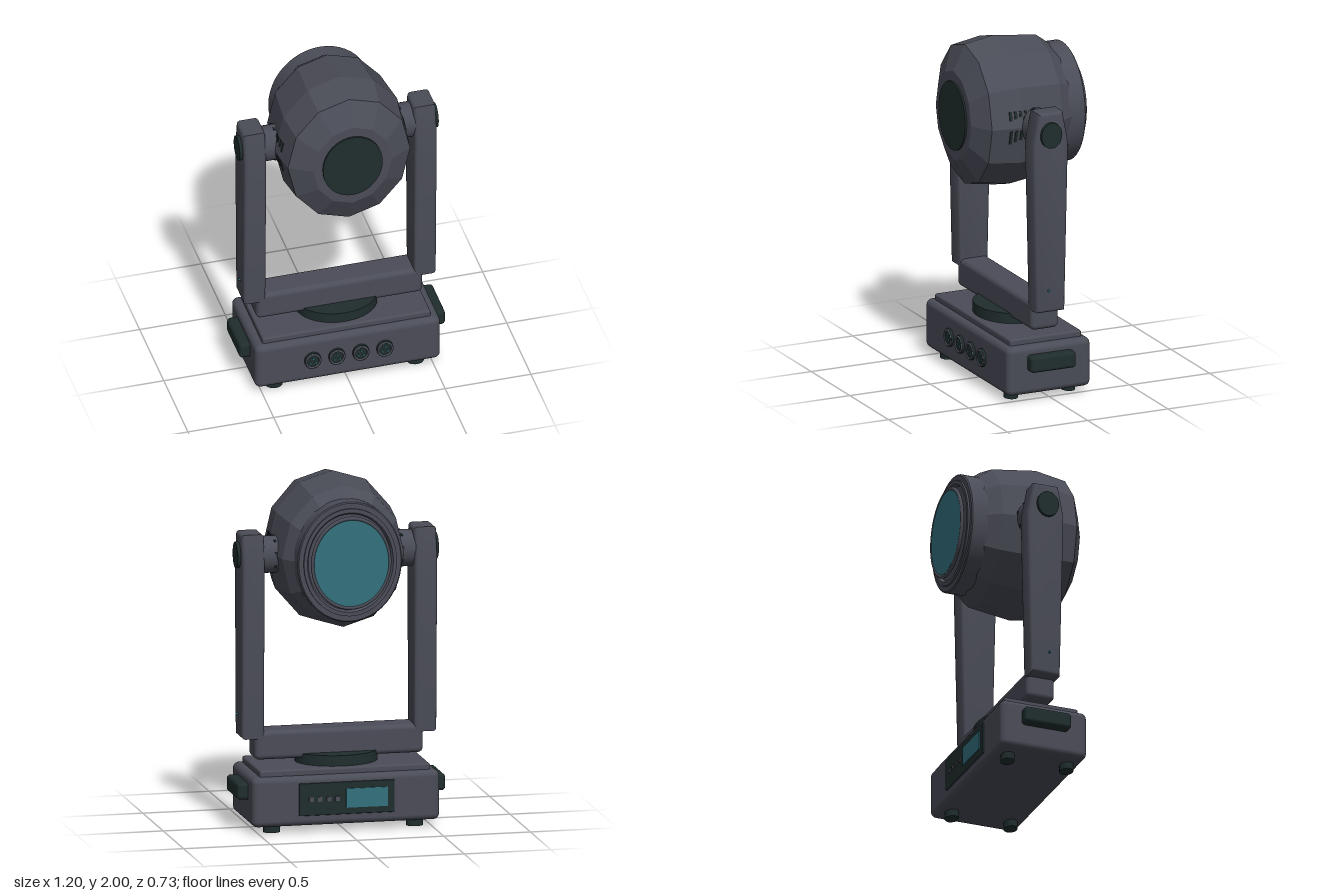
import * as THREE from 'three';
import { toCreasedNormals } from 'three/addons/utils/BufferGeometryUtils.js';
import { RoundedBoxGeometry } from 'three/addons/geometries/RoundedBoxGeometry.js';

const mat = (name, color) => {
  const m = new THREE.MeshStandardMaterial({ color });
  m.name = name;
  return m;
};

export function createModel() {
  const body = mat('charcoal casing', 0x4a4c57);
  const dark = mat('black green rubber', 0x202d2d);
  const teal = mat('teal glass', 0x33707e);
  const model = new THREE.Group();
  model.name = 'movingHeadLight';
  const MID = 0.015; // depth centre of base and yoke

  const add = (parent, name, geo, material, x = 0, y = 0, z = 0) => {
    const m = new THREE.Mesh(geo, material);
    m.name = name;
    m.position.set(x, y, z);
    parent.add(m);
    return m;
  };
  const rbox = (w, h, d, r) => new RoundedBoxGeometry(w, h, d, 3, r);
  // cylinders lying along x or z, with elliptical section
  const cylX = (ry, rz, len) =>
    new THREE.CylinderGeometry(1, 1, len, 32).rotateZ(Math.PI / 2).scale(1, ry, rz);
  const cylZ = (rx, ry, len, n = 32) =>
    new THREE.CylinderGeometry(1, 1, len, n).rotateX(Math.PI / 2).scale(rx, ry, 1);
  // lathe turned so that its axis is z
  const latheZ = (pts, n) =>
    new THREE.LatheGeometry(pts.map(p => new THREE.Vector2(...p)), n).rotateX(Math.PI / 2);

  // Base
  const base = new THREE.Group();
  base.name = 'base';
  model.add(base);
  add(base, 'baseCase', rbox(1.08, 0.285, 0.52, 0.035), body, 0, 0.1825, MID);
  add(base, 'baseLid', rbox(0.98, 0.06, 0.445, 0.012), body, 0, 0.33, MID);
  add(base, 'turntable', new THREE.CylinderGeometry(1, 1, 0.07, 40).scale(0.235, 1, 0.19), dark, 0, 0.385, MID);
  for (const s of [-1, 1]) {
    add(base, 'carryHandle', rbox(0.09, 0.095, 0.28, 0.02), dark, s * 0.555, 0.228, MID);
    for (const z of [-0.16, 0.197])
      add(base, 'foot', new THREE.CylinderGeometry(1, 1, 0.05, 24).scale(0.048, 1, 0.038), dark, s * 0.412, 0.025, z);
  }

  // Sockets on the front of the base
  for (const x of [-0.21, -0.07, 0.07, 0.21]) {
    const socket = new THREE.Group();
    socket.name = 'socket';
    socket.position.set(x, 0.185, 0.28);
    base.add(socket);
    add(socket, 'socketBody', cylZ(0.048, 0.053, 0.02), dark);
    add(socket, 'socketRim', new THREE.TorusGeometry(0.04, 0.006, 8, 28).scale(1, 1.1, 1), body, 0, 0, 0.01);
    for (let i = 0; i < 3; i++) {
      const a = Math.PI / 2 + i * Math.PI * 2 / 3;
      add(socket, 'socketPin', cylZ(0.005, 0.006, 0.008, 10), teal, Math.cos(a) * 0.018, Math.sin(a) * 0.02, 0.012);
    }
  }

  // Control panel on the back of the base
  add(base, 'controlPanel', rbox(0.55, 0.185, 0.03, 0.005), dark, 0, 0.193, -0.24);
  add(base, 'display', new THREE.BoxGeometry(0.24, 0.11, 0.008), teal, -0.115, 0.193, -0.257);
  for (let i = 0; i < 4; i++)
    add(base, 'panelButton', new THREE.BoxGeometry(0.026, 0.026, 0.008), body, 0.205 - i * 0.05, 0.193, -0.257);

  // Yoke
  const yoke = new THREE.Group();
  yoke.name = 'yoke';
  model.add(yoke);
  add(yoke, 'yokeCrossbar', rbox(0.97, 0.165, 0.17, 0.028), body, 0, 0.475, MID);
  const b = 0.02;
  const armShape = new THREE.Shape([
    [-0.087 + b, 0.515 + b], [0.087 - b, 0.515 + b], [0.109 - b, 1.5], [0.078 - b, 1.685 - b],
    [-0.078 + b, 1.685 - b], [-0.109 + b, 1.5],
  ].map(p => new THREE.Vector2(...p)));
  const armGeo = toCreasedNormals(new THREE.ExtrudeGeometry(armShape, {
    depth: 0.13 - 2 * b, bevelEnabled: true, bevelSize: b, bevelThickness: b, bevelSegments: 3,
  }).translate(0, 0, -0.065 + b).rotateY(-Math.PI / 2), 0.6);
  for (const s of [-1, 1]) {
    add(yoke, 'yokeArm', armGeo, body, s * 0.497, 0, MID);
    add(yoke, 'tiltCap', cylX(0.075, 0.064, 0.04), dark, s * 0.56, 1.558, 0.02);
    add(yoke, 'statusLight', cylX(0.007, 0.006, 0.02), teal, s * 0.565, 0.645, 0.033);
    add(yoke, 'tiltShaft', cylX(0.105, 0.093, 0.16), body, s * 0.37, 1.555, MID);
    for (let i = 0; i < 8; i++) {
      const a = (i + 0.5) * Math.PI / 4 - 0.2;
      const slot = add(yoke, 'shaftSlot', new THREE.BoxGeometry(0.013, 0.008, 0.018), dark,
        s * 0.365, 1.555 + Math.cos(a) * 0.105, MID + Math.sin(a) * 0.093);
      slot.rotation.x = a;
    }
  }

  // Lamp head: a twelve-sided faceted shell, slightly narrower than tall
  const head = new THREE.Group();
  head.name = 'head';
  head.position.set(0, 1.56, 0);
  head.scale.x = 0.87;
  model.add(head);
  const shell = latheZ([
    [0, -0.26], [0.33, -0.26], [0.405, -0.16], [0.44, 0.1], [0.41, 0.285], [0.262, 0.355], [0, 0.355],
  ], 12).toNonIndexed();
  shell.computeVertexNormals();
  add(head, 'headShell', shell, body);
  add(head, 'endCap', cylZ(0.2, 0.2, 0.02, 40), dark, 0, 0, 0.355);

  // Lens collar with stepped lip, and lens with its rim
  const collar = latheZ([
    [0, -0.322], [0.275, -0.322], [0.285, -0.34], [0.308, -0.34], [0.308, -0.328],
    [0.338, -0.328], [0.345, -0.322], [0.345, -0.2],
  ], 48);
  add(head, 'lensCollar', toCreasedNormals(collar, 0.6), body);
  add(head, 'lensRim', new THREE.TorusGeometry(0.256, 0.011, 10, 48), body, 0, 0, -0.357);
  add(head, 'lens', cylZ(0.247, 0.247, 0.01, 48), teal, 0, 0, -0.36);

  // Cooling slots on both flanks of the shell
  for (const s of [-1, 1]) for (const v of [-1, 1]) for (let i = 0; i < 4; i++) {
    const z = 0.17 - i * 0.03;
    const len = (v > 0 ? 0.055 : 0.08) - i * 0.011;
    const dy = v > 0 ? 0.095 - len / 2 : 0.015 + len / 2;
    const r = z > 0.1 ? 0.44 - (z - 0.1) * 0.162 : 0.44 - (0.1 - z) * 0.135;
    const vent = add(head, 'coolingSlot', new THREE.BoxGeometry(0.009, len, 0.016), dark,
      s * (r - 0.268 * dy), v * dy, z);
    vent.rotation.z = s * v * 0.262;
  }
  return model;
}
